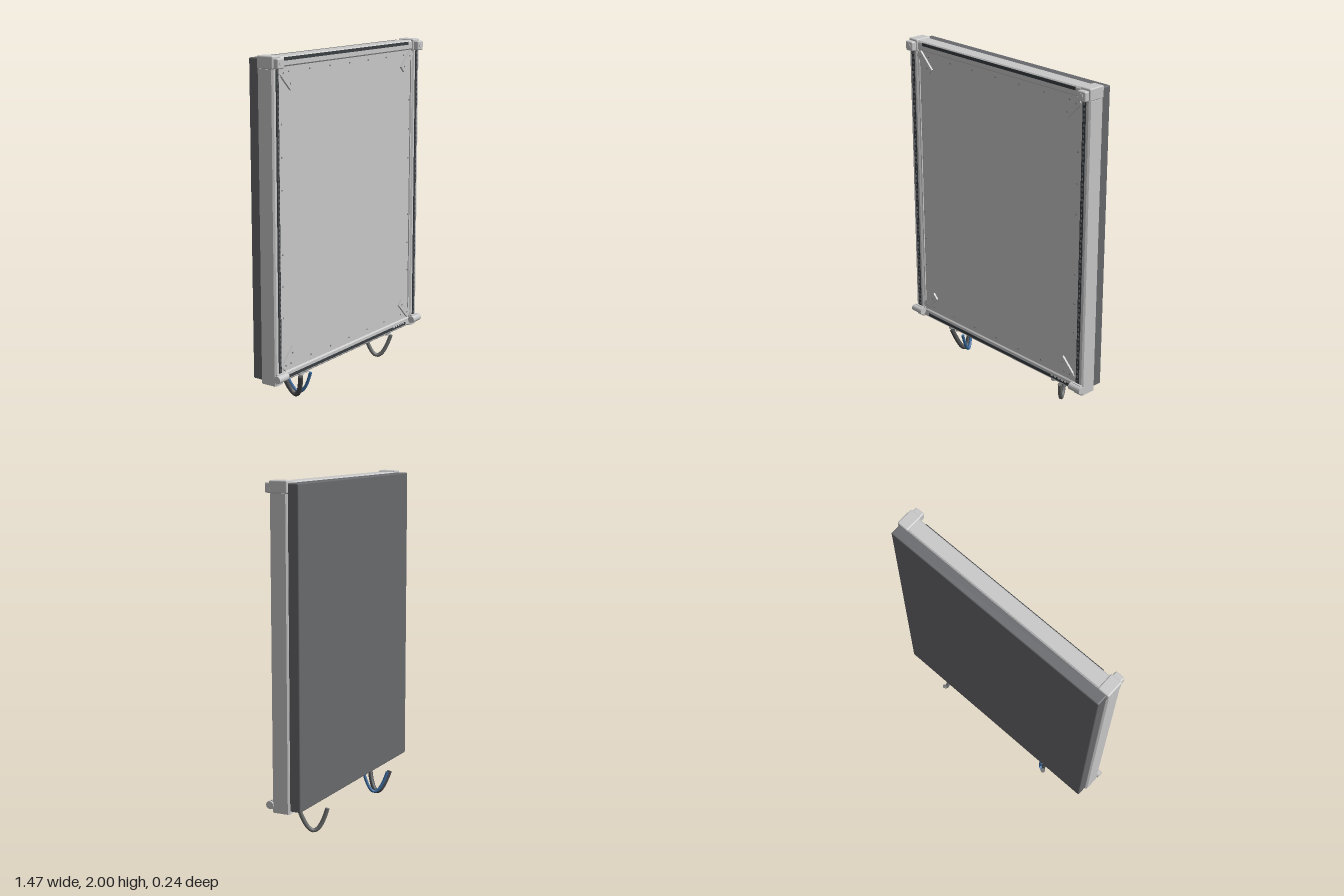
import * as THREE from 'three';
import { mergeGeometries } from 'three/addons/utils/BufferGeometryUtils.js';
import { RoundedBoxGeometry } from 'three/addons/geometries/RoundedBoxGeometry.js';

const material = (name, color) => {
  const m = new THREE.MeshStandardMaterial({ color });
  m.name = name;
  return m;
};

// Bar of chamfered w x d section, extruded along z from 0 to length
function barGeometry(w, d, length, c = 0.009) {
  const x = w / 2, y = d / 2;
  const shape = new THREE.Shape([
    [-x + c, -y], [x - c, -y], [x, -y + c], [x, y - c],
    [x - c, y], [-x + c, y], [-x, y - c], [-x, -y + c],
  ].map(([a, b]) => new THREE.Vector2(a, b)));
  return new THREE.ExtrudeGeometry(shape, { depth: length, bevelEnabled: false });
}

export function createModel() {
  const model = new THREE.Group();
  model.name = 'cabinetPanel';
  const light = material('lightGrey', 0xc8c8c8);
  const dark = material('darkGrey', 0x68696c);
  const slot = material('slotBlack', 0x3a3f42);
  const cableDark = material('cableCharcoal', 0x4c4d4f);
  const cableGrey = material('cableGrey', 0x6c6e6d);
  const blue = material('cableBlue', 0x3a6a9e);
  const screwGrey = material('screwGrey', 0x808284);

  const add = (name, geometry, mat, x = 0, y = 0, z = 0, parent = model) => {
    const mesh = new THREE.Mesh(geometry, mat);
    mesh.name = name;
    mesh.position.set(x, y, z);
    parent.add(mesh);
    return mesh;
  };
  const box = (w, h, d) => new THREE.BoxGeometry(w, h, d);

  // Rear housing and front sheet
  add('rearHousing', new RoundedBoxGeometry(1.43, 1.79, 0.075, 2, 0.007), dark, 0, 1.09, -0.0505);
  add('frontPanel', box(1.33, 1.72, 0.075), light, 0, 1.09, 0.0275);

  // Posts with their slots, teeth, corner clips and rollers
  for (const s of [-1, 1]) {
    const side = s > 0 ? 'left' : 'right';
    const post = add(side + 'Post', barGeometry(0.07, 0.106, 1.75), light, s * 0.692, 0.18, 0.028);
    post.rotation.x = -Math.PI / 2;
    add(side + 'PostFlange', box(0.012, 1.68, 0.07), light, s * 0.655, 1.09, 0.037);
    add(side + 'TopCorner', new RoundedBoxGeometry(0.072, 0.07, 0.108, 2, 0.008), light, s * 0.692, 1.965, 0.028);
    add(side + 'PostSlot', box(0.022, 1.68, 0.004), slot, s * 0.69, 1.09, 0.0825);

    const teeth = [];
    for (let i = 0; i < 56; i++) {
      teeth.push(box(0.009, 0.014, 0.005).translate(0, 0.265 + i * 0.03, 0));
    }
    add(side + 'SlotTeeth', mergeGeometries(teeth), dark, s * 0.69, 0, 0.0855);

    add(side + 'TopClip', new RoundedBoxGeometry(0.058, 0.056, 0.036, 2, 0.008), light, s * 0.692, 1.96, 0.095);
    const button = add(side + 'ClipButton', new THREE.CylinderGeometry(0.015, 0.015, 0.004, 20), light, s * 0.692, 1.96, 0.114);
    button.rotation.x = Math.PI / 2;
    const roller = add(side + 'BottomRoller', new THREE.CylinderGeometry(0.022, 0.022, 0.086, 24), light, s * 0.692, 0.223, 0.094);
    roller.rotation.z = Math.PI / 2;
    add(side + 'RollerMount', box(0.06, 0.05, 0.02), light, s * 0.692, 0.223, 0.083);
  }

  // Horizontal rails with long slots
  for (const top of [true, false]) {
    const name = top ? 'top' : 'bottom';
    const rail = add(name + 'Rail', barGeometry(0.096, 0.058, 1.32), light, -0.66, top ? 1.963 : 0.211, 0.0245);
    rail.rotation.y = Math.PI / 2;
    add(name + 'RailSlot', box(1.23, 0.018, 0.004), slot, 0, top ? 1.977 : 0.205, 0.0725);
  }
  for (let i = 0; i < 5; i++) {
    add('slotMark', box(0.016, 0.006, 0.003), light, 0.48 + i * 0.027, 0.211, 0.0745);
  }

  // Diagonal corner brackets with two screws each
  const screw = new THREE.CylinderGeometry(0.005, 0.005, 0.003, 10).rotateX(Math.PI / 2);
  for (const sx of [-1, 1]) for (const sy of [-1, 1]) {
    const bracket = new THREE.Group();
    bracket.name = 'cornerBracket';
    bracket.position.set(sx * 0.598, 1.09 + sy * 0.782, 0.071);
    bracket.rotation.z = sx * sy * Math.PI / 4;
    add('bracketPlate', box(0.14, 0.046, 0.012), light, 0, 0, 0, bracket);
    for (const x of [-0.045, 0.04]) add('bracketScrew', screw, screwGrey, x, 0, 0.0068, bracket);
    model.add(bracket);
  }

  // Screws around the edge of the front sheet
  for (const s of [-1, 1]) {
    for (const y of [0.275, 0.55, 0.73, 0.91, 1.27, 1.45, 1.63, 1.905]) {
      add('panelScrew', screw, screwGrey, s * 0.637, y, 0.066);
    }
    for (let i = -3; i <= 3; i++) {
      add('panelScrew', screw, screwGrey, i * 0.19, 1.09 + s * 0.818, 0.066);
    }
  }

  // Hanging cable loops, each below a round gland
  const V = (p) => new THREE.Vector3(...p);
  const cables = [
    ['greyCable', cableGrey, 0.0125, 0.465, [0.508, 0.148, 0.034], [0.459, 0.0145, -0.035], [0.424, 0.143, -0.105]],
    ['charcoalCable', cableDark, 0.0145, -0.44, [-0.44, 0.148, 0.034], [-0.397, 0.0145, -0.035], [-0.434, 0.143, -0.105]],
    ['blueCable', blue, 0.0095, -0.385, [-0.342, 0.144, 0.032], [-0.362, 0.02, -0.035], [-0.41, 0.143, -0.1]],
  ];
  for (const [name, mat, radius, glandX, a, b, c] of cables) {
    const start = V(a), end = V(c);
    const control = V(b).multiplyScalar(2).sub(start.clone().add(end).multiplyScalar(0.5));
    const curve = new THREE.QuadraticBezierCurve3(start, control, end);
    add(name, new THREE.TubeGeometry(curve, 32, radius, 14), mat);
    for (const [t, dir] of [[0, -1], [1, 1]]) {
      const p = curve.getPoint(t);
      const cap = add(name + 'End', new THREE.CircleGeometry(radius, 14), mat, p.x, p.y, p.z);
      cap.lookAt(p.clone().addScaledVector(curve.getTangent(t), dir));
    }
    const r = mat === blue ? 0.016 : 0.022;
    add(name + 'Gland', new THREE.CylinderGeometry(r, r, 0.024, 20), light, glandX, 0.174, 0.033);
  }
  return model;
}
